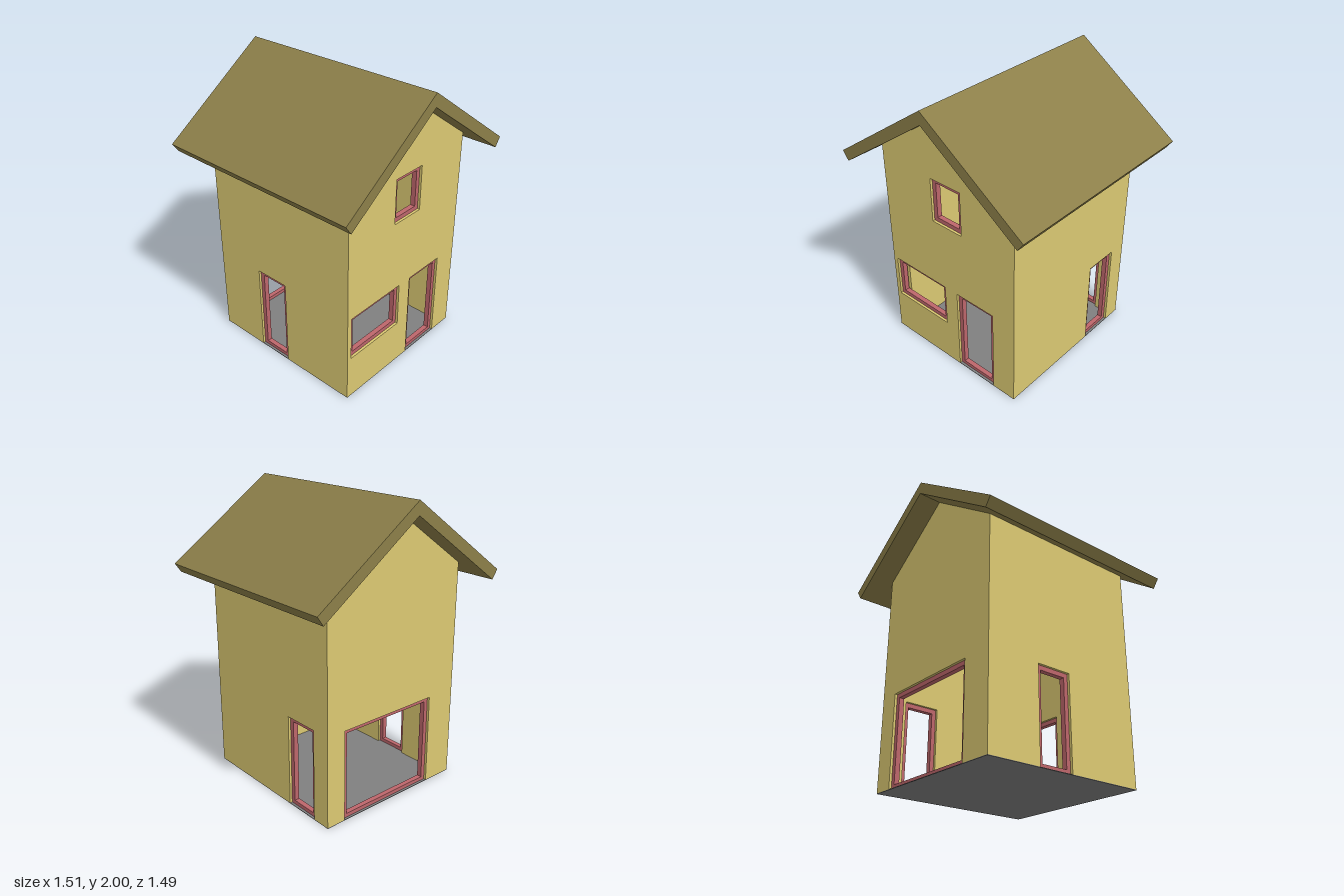
import * as THREE from 'three';

const W = 0.555, D = 0.587;        // half width and half depth of the walls
const T = 0.07;                    // wall thickness
const BASE = 0.004;                // top of the floor sheet
const RIDGE = 1.91, EAVE = 1.52;   // underside of the roof at the middle and at the walls

const material = (color) => new THREE.MeshStandardMaterial({ color, flatShading: true });

function polygon(points, Type = THREE.Shape) {
  return new Type(points.map(([x, y]) => new THREE.Vector2(x, y)));
}

const rect = (a, b, low, high) => [[a, low], [b, low], [b, high], [a, high]];

// Extrusion centred on its own thickness
function slab(name, shape, depth, mat) {
  const geometry = new THREE.ExtrudeGeometry(shape, { depth, bevelEnabled: false });
  geometry.translate(0, 0, -depth / 2);
  const mesh = new THREE.Mesh(geometry, mat);
  mesh.name = name;
  return mesh;
}

export function createModel() {
  const house = new THREE.Group();
  house.name = 'house';
  const wallMat = material(0xdbc972);
  const frameMat = material(0xbd666b);
  const roofMat = material(0x8c7f49);
  const floorMat = material(0x808080);

  // A wall with its openings; an opening that starts at 0 is a notch in the bottom edge
  function wall(name, half, peak, openings) {
    const group = new THREE.Group();
    group.name = name;
    const outline = [[-half, BASE]];
    const doors = openings.filter((o) => o.low === 0).sort((p, q) => p.a - q.a);
    for (const { a, b, high } of doors) outline.push([a, BASE], [a, high], [b, high], [b, BASE]);
    outline.push([half, BASE], [half, EAVE]);
    if (peak) outline.push([0, peak]);
    outline.push([-half, EAVE]);
    const shape = polygon(outline);
    for (const { a, b, low, high } of openings) {
      if (low > 0) shape.holes.push(polygon(rect(a, b, low, high), THREE.Path));
    }
    group.add(slab(name + 'Panel', shape, T, wallMat));

    // Frames set back from both wall faces
    for (const { part, a, b, low, high } of openings) {
      const w = 0.03;
      const frame = polygon(rect(a, b, Math.max(low, BASE), high));
      frame.holes.push(polygon(rect(a + w, b - w, low + w, high - w), THREE.Path));
      group.add(slab(part, frame, 0.035, frameMat));
    }
    house.add(group);
    return group;
  }

  // Gable walls
  wall('frontWall', W, RIDGE, [
    { part: 'frontDoorFrame', a: 0.06, b: 0.375, low: 0, high: 0.63 },
    { part: 'frontWindowFrame', a: -0.52, b: -0.05, low: 0.315, high: 0.63 },
    { part: 'upperWindowFrame', a: -0.125, b: 0.125, low: 1.13, high: 1.445 },
  ]).position.z = D - T / 2;
  wall('backWall', W, RIDGE, [
    { part: 'backDoorFrame', a: -0.335, b: 0.415, low: 0, high: 0.63 },
  ]).position.z = -D + T / 2;

  // Side walls fit between the gables; turned so their own x runs along -z
  const leftWall = wall('leftWall', D - T, 0, [
    { part: 'leftDoorFrame', a: 0.205, b: 0.455, low: 0, high: 0.63 },
  ]);
  leftWall.position.x = W - T / 2;
  const rightWall = wall('rightWall', D - T, 0, [
    { part: 'rightDoorFrame', a: -0.04, b: 0.21, low: 0, high: 0.63 },
  ]);
  rightWall.position.x = -W + T / 2;
  for (const side of [leftWall, rightWall]) side.rotation.y = Math.PI / 2;

  // Floor sheet over the whole footprint
  const floor = new THREE.Mesh(new THREE.BoxGeometry(2 * W, BASE, 2 * D), floorMat);
  floor.name = 'floor';
  floor.position.y = BASE / 2;
  house.add(floor);

  // Pitched roof with eaves cut square to the slope
  const section = polygon([
    [0, 2], [-0.756, 1.47], [-0.713, 1.408], [0, RIDGE], [0.713, 1.408], [0.756, 1.47],
  ]);
  house.add(slab('roof', section, 1.49, roofMat));

  return house;
}
